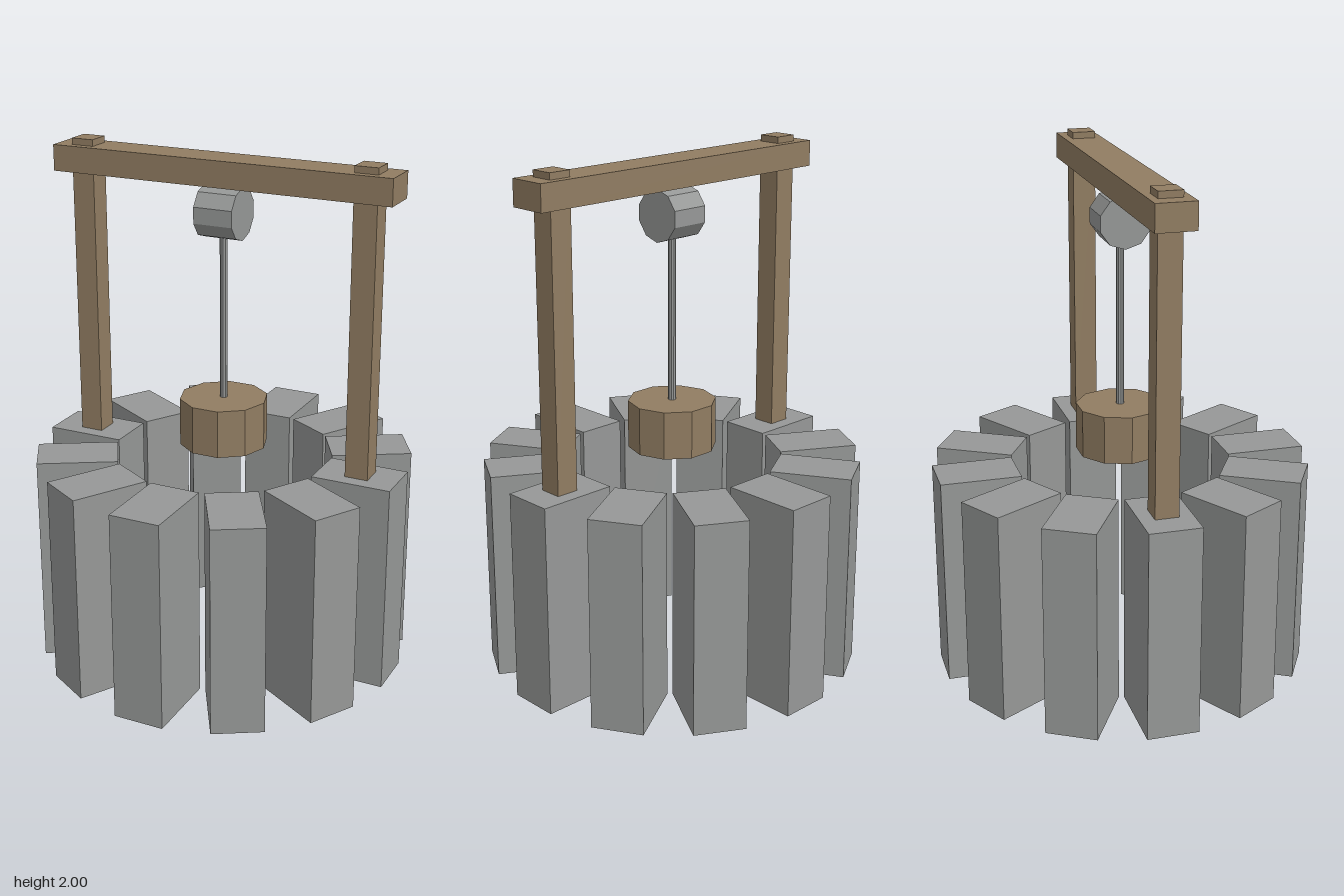
import * as THREE from 'three';

export function createModel() {
  const stone = new THREE.MeshStandardMaterial({ color: 0x969897, flatShading: true });
  stone.name = 'stone grey';
  const wood = new THREE.MeshStandardMaterial({ color: 0x917d62, flatShading: true });
  wood.name = 'wood brown';

  const well = new THREE.Group();
  well.name = 'well';

  const add = (name, geometry, material, x, y, z, parent = well) => {
    const mesh = new THREE.Mesh(geometry, material);
    mesh.name = name;
    mesh.position.set(x, y, z);
    parent.add(mesh);
    return mesh;
  };

  // Ten-sided drum with corners on the x axis
  const drum = (radius, height) =>
    new THREE.CylinderGeometry(radius, radius, height, 10).rotateY(Math.PI / 10);

  // Ring of twelve upright stone blocks
  const wall = new THREE.Group();
  wall.name = 'stoneRing';
  well.add(wall);
  const blockGeometry = new THREE.BoxGeometry(0.2, 0.826, 0.31);
  for (let i = 0; i < 12; i++) {
    const a = (i * Math.PI) / 6;
    const block = add('stoneBlock', blockGeometry, stone, Math.sin(a) * 0.568, 0.413, Math.cos(a) * 0.568, wall);
    block.rotation.y = a;
  }

  // Posts standing on the ring, poking through the crossbeam
  const postGeometry = new THREE.BoxGeometry(0.09, 1.18, 0.09);
  for (const side of [1, -1]) {
    add(side > 0 ? 'leftPost' : 'rightPost', postGeometry, wood, side * 0.57, 1.41, 0);
  }
  add('crossbeam', new THREE.BoxGeometry(1.36, 0.1, 0.15), wood, 0, 1.925, 0);

  // Pulley lying along the beam, with the rope and bucket below it
  add('pulley', drum(0.1, 0.155).rotateZ(Math.PI / 2), stone, 0, 1.77, 0);
  add('rope', drum(0.015, 0.74), stone, 0, 1.37, 0);
  add('bucket', drum(0.171, 0.187), wood, 0, 0.952, 0);

  return well;
}
